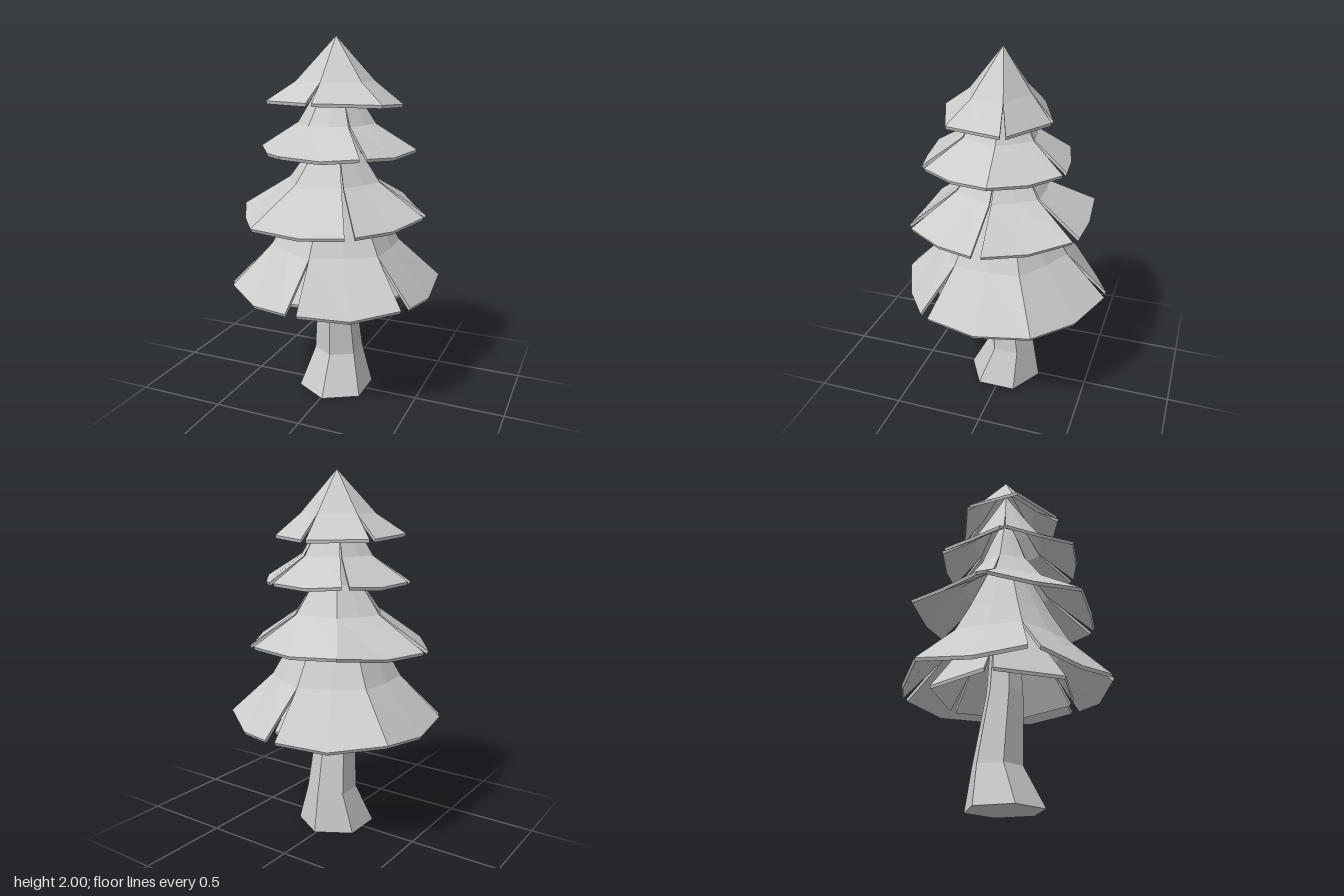
import * as THREE from 'three';

const material = new THREE.MeshStandardMaterial({ color: 0xcccccc, flatShading: true, side: THREE.DoubleSide });

function meshFromQuads(name, quads) {
  const pos = [];
  for (const [a, b, c, d] of quads) {
    for (const p of [a, b, c, a, c, d]) pos.push(p.x, p.y, p.z);
  }
  const geometry = new THREE.BufferGeometry();
  geometry.setAttribute('position', new THREE.Float32BufferAttribute(pos, 3));
  geometry.computeVertexNormals();
  const mesh = new THREE.Mesh(geometry, material);
  mesh.name = name;
  return mesh;
}

// Six corners of a ring in x and z, running from the front towards +x
function hexagon(x, y, z, rx, rz, twist = 0) {
  return Array.from({ length: 6 }, (_, i) => {
    const a = THREE.MathUtils.degToRad(twist + i * 60);
    return new THREE.Vector3(x + rx * Math.sin(a), y, z + rz * Math.cos(a));
  });
}

// One skirt of six folded panels, split at the listed corners.
// Rows are [share of rim radius, height]; tilt lifts the rim towards the front.
function branchTier({ name, apexY, rows, rimY, tilt, x, z, rx, rz, twist, slits, gap, midGap, bulge, sag }) {
  const apex = new THREE.Vector3(0.012, apexY, 0.01);
  const corners = hexagon(x, rimY, z, rx, rz, twist);
  for (const p of corners) p.y += tilt * p.z;
  const group = new THREE.Group();
  group.name = name;
  corners.forEach((from, i) => {
    const next = (i + 1) % 6;
    const to = corners[next];
    const fromSlit = slits.includes(i);
    const toSlit = slits.includes(next);
    const edge = from.distanceTo(to);
    // a panel row of left, middle and right points
    const panelRow = (ratio, y, open) => [0, 0.5, 1].map((s) => {
      let t = s;
      if (s === 0 && fromSlit) t = open / edge;
      if (s === 1 && toSlit) t = 1 - open / edge;
      const rim = from.clone().lerp(to, t);
      const p = apex.clone().lerp(rim, ratio * (s === 0.5 ? bulge : 1));
      p.y = y ?? rim.y - (s === 0.5 ? sag : 0);
      return p;
    });
    const last = rows.length + 1;
    const outer = [[0, apexY], ...rows, [1, null]].map(([ratio, y], r) => {
      const width = r === last ? gap : r === last - 1 ? midGap : 0;
      return panelRow(ratio, y, width / 2);
    });
    // underside, slightly smaller and lower
    const inner = outer.map((row) => row.map((p) => {
      const q = apex.clone().lerp(p, 0.985);
      q.y = p.y - 0.017;
      return q;
    }));
    const quads = [];
    for (let r = 0; r < last; r++) {
      for (let c = 0; c < 2; c++) {
        quads.push([outer[r][c], outer[r + 1][c], outer[r + 1][c + 1], outer[r][c + 1]]);
        quads.push([inner[r][c + 1], inner[r + 1][c + 1], inner[r + 1][c], inner[r][c]]);
      }
      // slit walls
      if (fromSlit) quads.push([inner[r][0], inner[r + 1][0], outer[r + 1][0], outer[r][0]]);
      if (toSlit) quads.push([outer[r][2], outer[r + 1][2], inner[r + 1][2], inner[r][2]]);
    }
    // rim wall
    for (let c = 0; c < 2; c++) {
      quads.push([outer[last][c], inner[last][c], inner[last][c + 1], outer[last][c + 1]]);
    }
    group.add(meshFromQuads(name + 'Panel', quads));
  });
  return group;
}

// Bent six-sided trunk with a flared foot
function trunk() {
  const rings = [
    [0, 0.215, 0], [0.22, 0.14, -0.04], [0.62, 0.104, 0], [1.2, 0.06, 0],
  ].map(([y, r, z]) => hexagon(0.01, y, z, r, r));
  const quads = [];
  for (let k = 0; k < rings.length - 1; k++) {
    for (let i = 0; i < 6; i++) {
      const j = (i + 1) % 6;
      quads.push([rings[k + 1][i], rings[k][i], rings[k][j], rings[k + 1][j]]);
    }
  }
  // foot and top caps
  const b = rings[0], t = rings[rings.length - 1];
  quads.push([b[3], b[2], b[1], b[0]], [b[0], b[5], b[4], b[3]]);
  quads.push([t[0], t[1], t[2], t[3]], [t[3], t[4], t[5], t[0]]);
  return meshFromQuads('trunk', quads);
}

export function createModel() {
  const model = new THREE.Group();
  model.name = 'pineTree';
  model.add(
    trunk(),
    branchTier({
      name: 'topTier', apexY: 2, rows: [[0.57, 1.77]], rimY: 1.655, tilt: 0.06,
      x: 0.018, z: 0.036, rx: 0.384, rz: 0.302, twist: -3, slits: [0, 2, 3, 4],
      gap: 0.035, midGap: 0, bulge: 1, sag: 0,
    }),
    branchTier({
      name: 'upperTier', apexY: 1.9, rows: [[0.32, 1.67], [0.5, 1.55]], rimY: 1.42, tilt: 0,
      x: 0.028, z: 0.032, rx: 0.43, rz: 0.43, twist: -19.5, slits: [1, 3, 4, 5],
      gap: 0.045, midGap: 0.02, bulge: 1.04, sag: 0.015,
    }),
    branchTier({
      name: 'middleTier', apexY: 1.75, rows: [[0.15, 1.57], [0.27, 1.4], [0.49, 1.24]], rimY: 1.072, tilt: -0.05,
      x: -0.008, z: 0.015, rx: 0.54, rz: 0.54, twist: -27.5, slits: [1, 2, 3, 5],
      gap: 0.06, midGap: 0.025, bulge: 1.03, sag: 0.02,
    }),
    branchTier({
      name: 'lowerTier', apexY: 1.5, rows: [[0.25, 1.28], [0.44, 1.05], [0.6, 0.88]], rimY: 0.655, tilt: 0,
      x: 0.01, z: 0, rx: 0.602, rz: 0.605, twist: 0, slits: [0, 1, 3, 5],
      gap: 0.07, midGap: 0, bulge: 1.05, sag: 0.035,
    }),
    branchTier({
      name: 'innerTier', apexY: 1.15, rows: [[0.45, 0.95], [0.65, 0.82]], rimY: 0.615, tilt: 0,
      x: 0.01, z: 0, rx: 0.41, rz: 0.41, twist: 35, slits: [0, 2, 4],
      gap: 0.05, midGap: 0, bulge: 1, sag: 0,
    }),
  );
  return model;
}
